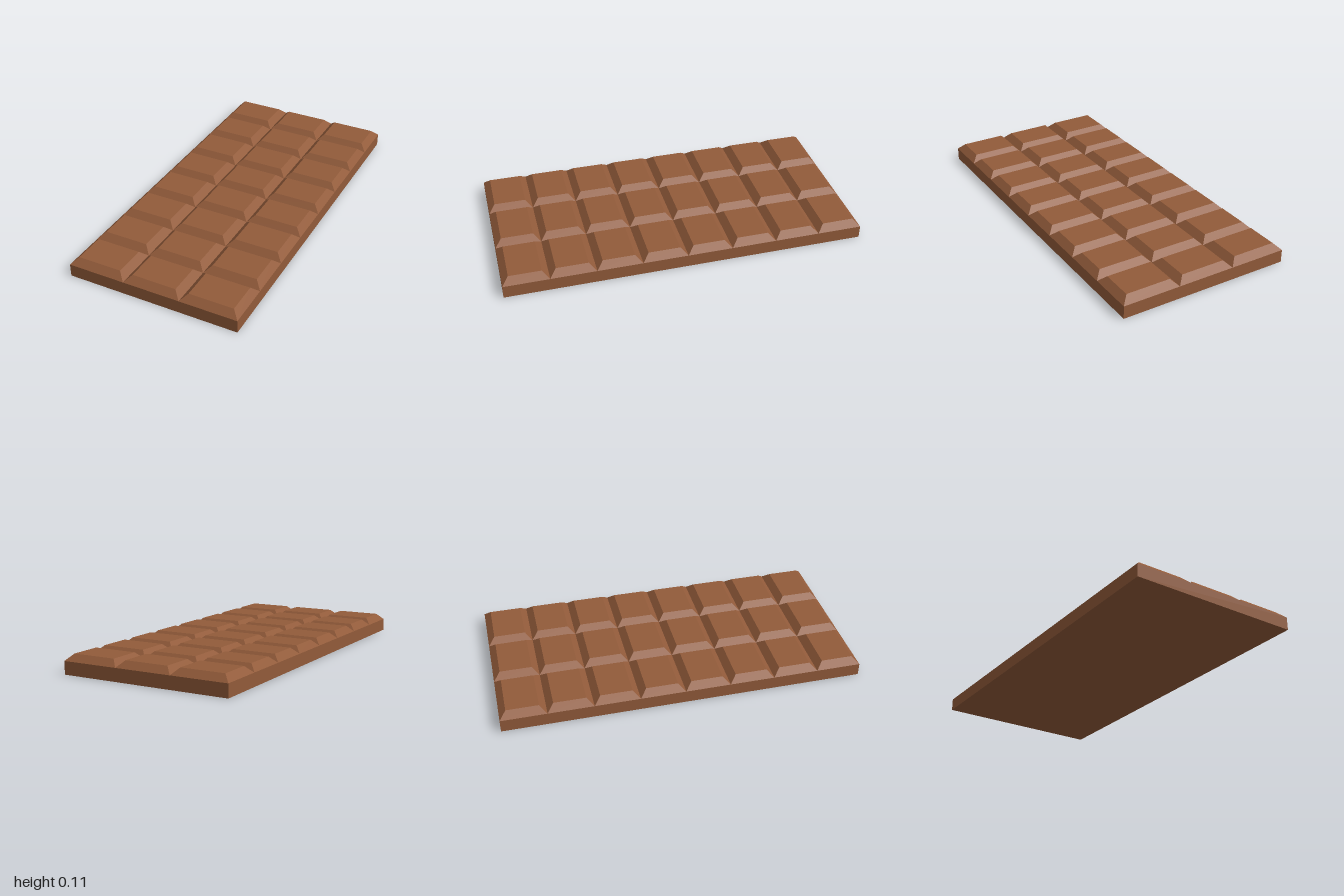
import * as THREE from 'three';

const COLS = 3, ROWS = 8;
const WIDTH = 0.972, LENGTH = 2, BASE_H = 0.072, BLOCK_H = 0.036, BEVEL = 0.037;

// Box without the listed faces (0 +x, 1 -x, 2 +y, 3 -y, 4 +z, 5 -z), resting on y = 0
function openBox(w, h, d, hiddenFace) {
  const g = new THREE.BoxGeometry(w, h, d).translate(0, h / 2, 0);
  const index = Array.from(g.index.array).filter((_, i) => Math.floor(i / 6) !== hiddenFace);
  g.setIndex(index);
  g.clearGroups();
  return g;
}

// Square with four sloped sides: the top corners are pulled in by the bevel
function squareGeometry(w, d) {
  const g = openBox(w, BLOCK_H, d, 3);
  const p = g.attributes.position;
  for (let i = 0; i < p.count; i++) {
    if (p.getY(i) > BLOCK_H / 2) {
      p.setX(i, p.getX(i) - Math.sign(p.getX(i)) * BEVEL);
      p.setZ(i, p.getZ(i) - Math.sign(p.getZ(i)) * BEVEL);
    }
  }
  g.computeVertexNormals();
  return g;
}

export function createModel() {
  const model = new THREE.Group();
  model.name = 'chocolateBar';
  const chocolate = new THREE.MeshStandardMaterial({ color: 0x925b3a, flatShading: true });

  // Solid slab under the squares
  const base = new THREE.Mesh(openBox(WIDTH, BASE_H, LENGTH, 2), chocolate);
  base.name = 'base';
  model.add(base);

  // Grid of bevelled squares, meeting in V-shaped grooves
  const squares = new THREE.Group();
  squares.name = 'squares';
  const w = WIDTH / COLS, d = LENGTH / ROWS;
  const geometry = squareGeometry(w, d);
  for (let r = 0; r < ROWS; r++) {
    for (let c = 0; c < COLS; c++) {
      const square = new THREE.Mesh(geometry, chocolate);
      square.name = `square_${r + 1}_${c + 1}`;
      square.position.set((c - (COLS - 1) / 2) * w, BASE_H, (r - (ROWS - 1) / 2) * d);
      squares.add(square);
    }
  }
  model.add(squares);
  return model;
}
